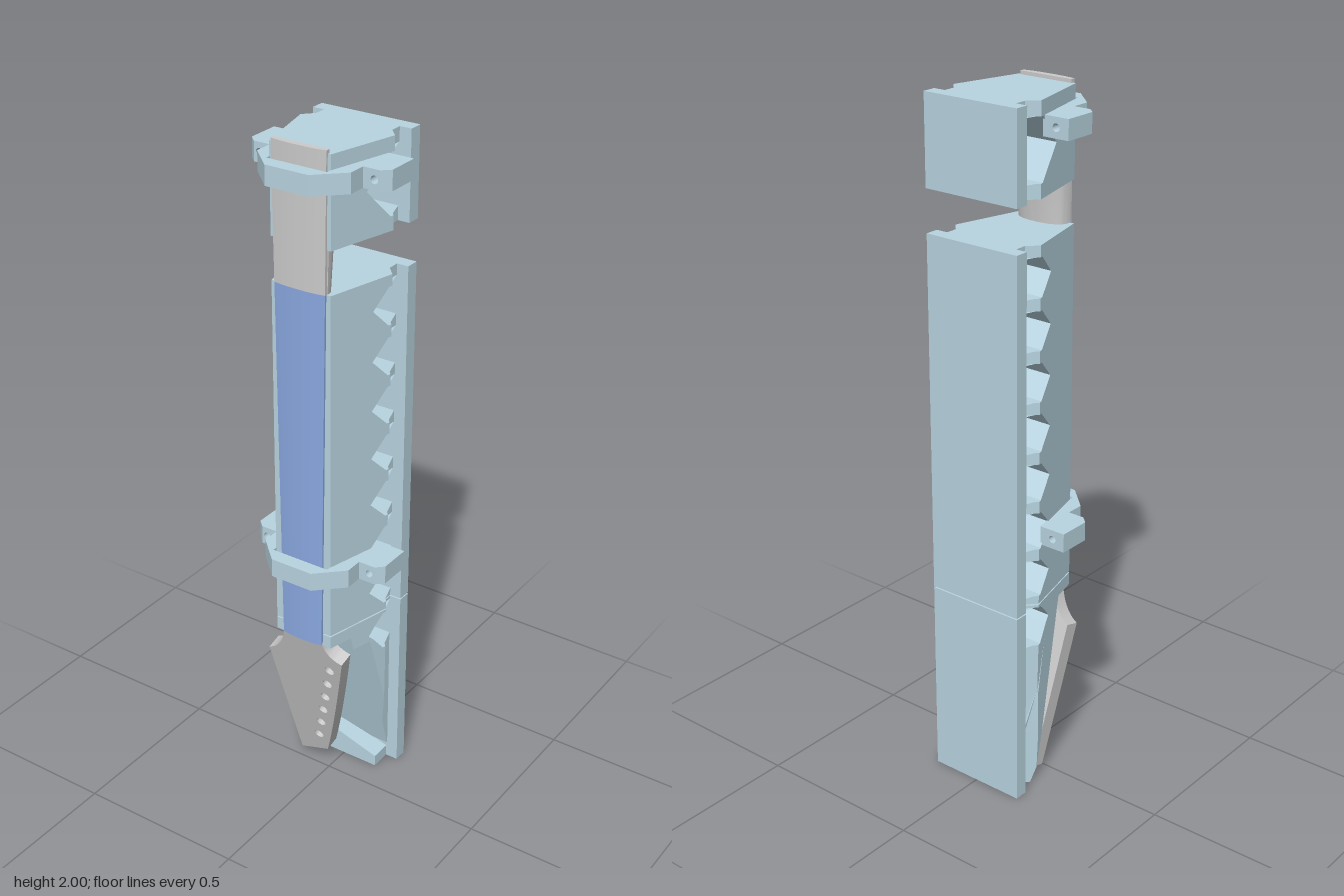
import * as THREE from 'three';
import { toCreasedNormals } from 'three/addons/utils/BufferGeometryUtils.js';

const paint = (color) => new THREE.MeshStandardMaterial({ color, side: THREE.DoubleSide });
const PALE = paint(0xb8d4e0), BLUE = paint(0x8aa8e0), GREY = paint(0xcccccc);

// Right half of a plan section [x, z], front to back, mirrored to a full ring
const mirror = (half) => [...half, ...half.map(([x, z]) => [-x, z]).reverse()];

// Joins plan rings at rising heights: rows = [[y, ring], ...]
function loft(rows) {
  const n = rows[0][1].length, pos = [], index = [];
  for (const [y, ring] of rows) for (const [x, z] of ring) pos.push(x, y, z);
  for (let r = 0; r < rows.length - 1; r++) {
    for (let i = 0; i < n; i++) {
      const a = r * n + i, b = r * n + (i + 1) % n;
      index.push(a, b, b + n, a, b + n, a + n);
    }
  }
  const top = (rows.length - 1) * n;
  for (let i = 0; i < n / 2 - 1; i++) {
    const q = [i, i + 1, n - 2 - i, n - 1 - i];
    index.push(q[0], q[2], q[1], q[0], q[3], q[2]);
    index.push(top + q[0], top + q[1], top + q[2], top + q[0], top + q[2], top + q[3]);
  }
  const g = new THREE.BufferGeometry();
  g.setAttribute('position', new THREE.Float32BufferAttribute(pos, 3));
  g.setIndex(index);
  return toCreasedNormals(g, 0.45);
}

// Half width of the block at depth z: tapered front, narrow stem at the back
function halfWidth(z) {
  if (z >= -0.08) return 0.143 - (z + 0.08) * 0.25;
  return z <= -0.11 ? 0.115 : 0.115 + (z + 0.11) * 0.933;
}

// Plan section of the block between a front and a back depth
function section(zf, zb) {
  const clamp = (z) => Math.min(zf, Math.max(zb, z));
  return mirror([zf, clamp(-0.08), clamp(-0.11), zb].map((z) => [halfWidth(z), z]));
}

const STEM = -0.145, FRONT = 0.125;
// Back depths of one pointed notch running through the block
const notch = (y0, y1, tip) => [[y0, STEM], [y0, -0.07], [(y0 + y1) / 2, tip], [y1, -0.07], [y1, STEM]];

function blockRows(y0, y1, notches) {
  const rows = [[y0, STEM], ...notches.flat(), [y1, STEM]];
  return rows.map(([y, zb]) => [y, section(FRONT, zb)]);
}

function polygon(points) {
  return new THREE.Shape(points.map(([x, y]) => new THREE.Vector2(x, y)));
}

// Extrudes a plan outline [x, z] upward from y = 0
function planExtrude(points, height) {
  const g = new THREE.ExtrudeGeometry(polygon(points.map(([x, z]) => [x, -z])), { depth: height, bevelEnabled: false });
  return g.rotateX(-Math.PI / 2);
}

export function createModel() {
  const model = new THREE.Group();
  model.name = 'neckHolder';
  const add = (name, geometry, material, parent = model) => {
    const mesh = new THREE.Mesh(geometry, material);
    mesh.name = name;
    parent.add(mesh);
    return mesh;
  };

  // Back plates
  [['lower', 0, 0.583], ['middle', 0.587, 1.62], ['upper', 1.74, 1.99]].forEach(([part, y0, y1]) => {
    add(part + 'BackPlate', new THREE.BoxGeometry(0.3, y1 - y0, 0.04), PALE).position.set(0, (y0 + y1) / 2, -0.165);
  });

  // Middle block with a row of notches
  const notches = [];
  for (let i = 0; i < 7; i++) {
    const y = 0.666 + i * 0.1445;
    notches.push(notch(y - 0.055, y + 0.055, -0.016));
  }
  add('middleBlock', loft(blockRows(0.587, 1.62, notches)), PALE);

  // Upper block with one large notch
  add('upperBlock', loft(blockRows(1.74, 1.99, [notch(1.78, 1.95, 0.01)])), PALE);

  // Lower block: sloping floor under the headstock, shelf at the top
  const floor = (y) => -0.02 + (y - 0.5) * 0.272;
  const wall = (y) => 0.037 + (y - 0.49) * 0.272;
  const lower = [
    [0.05, floor(0.05), STEM], [0.15, floor(0.15), STEM], [0.27, floor(0.27), STEM],
    [0.455, floor(0.455), STEM], [0.455, floor(0.455), -0.07],
    [0.5, floor(0.5), -0.034], [0.5, wall(0.5), -0.034], [0.518, wall(0.518), -0.016],
    [0.545, wall(0.545), -0.039], [0.545, FRONT, -0.039],
    [0.575, FRONT, -0.07], [0.575, FRONT, STEM], [0.583, FRONT, STEM],
  ];
  add('lowerBlock', loft(lower.map(([y, zf, zb]) => [y, section(zf, zb)])), PALE);

  // Side wall and bottom lip of the headstock recess
  const wallRows = [0, 0.05, 0.15, 0.3, 0.5].map((y) => {
    const ring = section(wall(y), Math.max(STEM, floor(y) - 0.01));
    return [y, ring.map(([x, z]) => [Math.min(x, -0.09), z])];
  });
  add('recessSideWall', loft(wallRows), PALE);
  const lip = polygon([[-0.115, 0], [0.112, 0], [0.112, 0.035], [-0.02, 0.075], [-0.115, 0.1]]);
  add('recessLip', new THREE.ExtrudeGeometry(lip, { depth: 0.063, bevelEnabled: false }), PALE).position.z = STEM;

  // Rounded neck, growing wider and deeper upward
  const neckRow = (y, w, depth) => {
    const ring = [];
    for (let i = 0; i < 20; i++) {
      const a = (i / 19) * Math.PI;
      ring.push([w * Math.cos(a), 0.122 - depth * Math.pow(Math.sin(a), 0.7)]);
    }
    return [y, ring];
  };
  add('neck', loft([neckRow(0.53, 0.066, 0.045), neckRow(1.62, 0.08, 0.047), neckRow(1.76, 0.084, 0.064)]), GREY);

  // Slightly domed fingerboard, coloured along the playing length
  const boardRow = (y) => {
    const w = 0.065 + (y - 0.55) * 0.0125;
    return [y, mirror([[w * 0.25, 0.137], [w * 0.65, 0.135], [w, 0.131], [w, 0.118]])];
  };
  add('fingerboard', loft([boardRow(0.548), boardRow(1.62)]), BLUE);
  add('fingerboardEnd', loft([boardRow(1.62), boardRow(2)]), GREY);

  // Tilted headstock with six peg holes
  const tilt = 0.274, pivotY = 0.503;
  const local = (y) => (y - pivotY) / Math.cos(tilt);
  const head = new THREE.Shape();
  head.moveTo(-0.066, local(0.55));
  head.quadraticCurveTo(-0.085, local(0.47), -0.14, local(0.445));
  head.quadraticCurveTo(-0.125, local(0.2), -0.112, local(0.016));
  head.lineTo(-0.01, local(0.055));
  head.quadraticCurveTo(0.045, local(0.21), 0.122, local(0.492));
  head.quadraticCurveTo(0.075, local(0.5), 0.066, local(0.55));
  for (let i = 0; i < 6; i++) {
    const hole = new THREE.Path();
    hole.absarc(0.071 - i * 0.0202, local(0.444 - i * 0.0656), 0.015, 0, Math.PI * 2, true);
    head.holes.push(hole);
  }
  const headGeometry = new THREE.ExtrudeGeometry(head, { depth: 0.046, bevelEnabled: false, curveSegments: 12 });
  headGeometry.translate(0, 0, -0.046);
  const headstock = add('headstock', toCreasedNormals(headGeometry, 0.5), GREY);
  headstock.position.set(0, pivotY, 0.117);
  headstock.rotation.x = tilt;

  // Two clamps: a band around the front and a drilled ear on each side
  const outer = [[0.14, -0.06], [0.14, 0.11], [0.065, 0.182]];
  const inner = [[0.09, 0.14], [0.09, 0.125], [0.132, -0.06]];
  const flip = (list) => list.map(([x, z]) => [-x, z]).reverse();
  const band = [...outer, ...flip(outer), ...flip(inner), ...inner];
  const H = 0.055;
  for (const [name, y] of [['lowerClamp', 0.76], ['upperClamp', 1.895]]) {
    const clamp = new THREE.Group();
    clamp.name = name;
    clamp.position.y = y;
    model.add(clamp);
    add('band', planExtrude(band, H), PALE, clamp);
    for (const s of [1, -1]) {
      const ear = polygon([[s * 0.137, 0], [s * 0.19, 0], [s * 0.19, H], [s * 0.137, H]]);
      const bore = new THREE.Path();
      bore.absarc(s * 0.173, H / 2, 0.011, 0, Math.PI * 2, true);
      ear.holes.push(bore);
      add('ear', new THREE.ExtrudeGeometry(ear, { depth: 0.117, bevelEnabled: false }), PALE, clamp).position.z = -0.06;
      const tip = [[0.19, -0.06], [0.212, -0.06], [0.212, 0.036], [0.19, 0.057]];
      add('earTip', planExtrude(tip.map(([x, z]) => [s * x, z]), H), PALE, clamp);
    }
  }
  return model;
}
